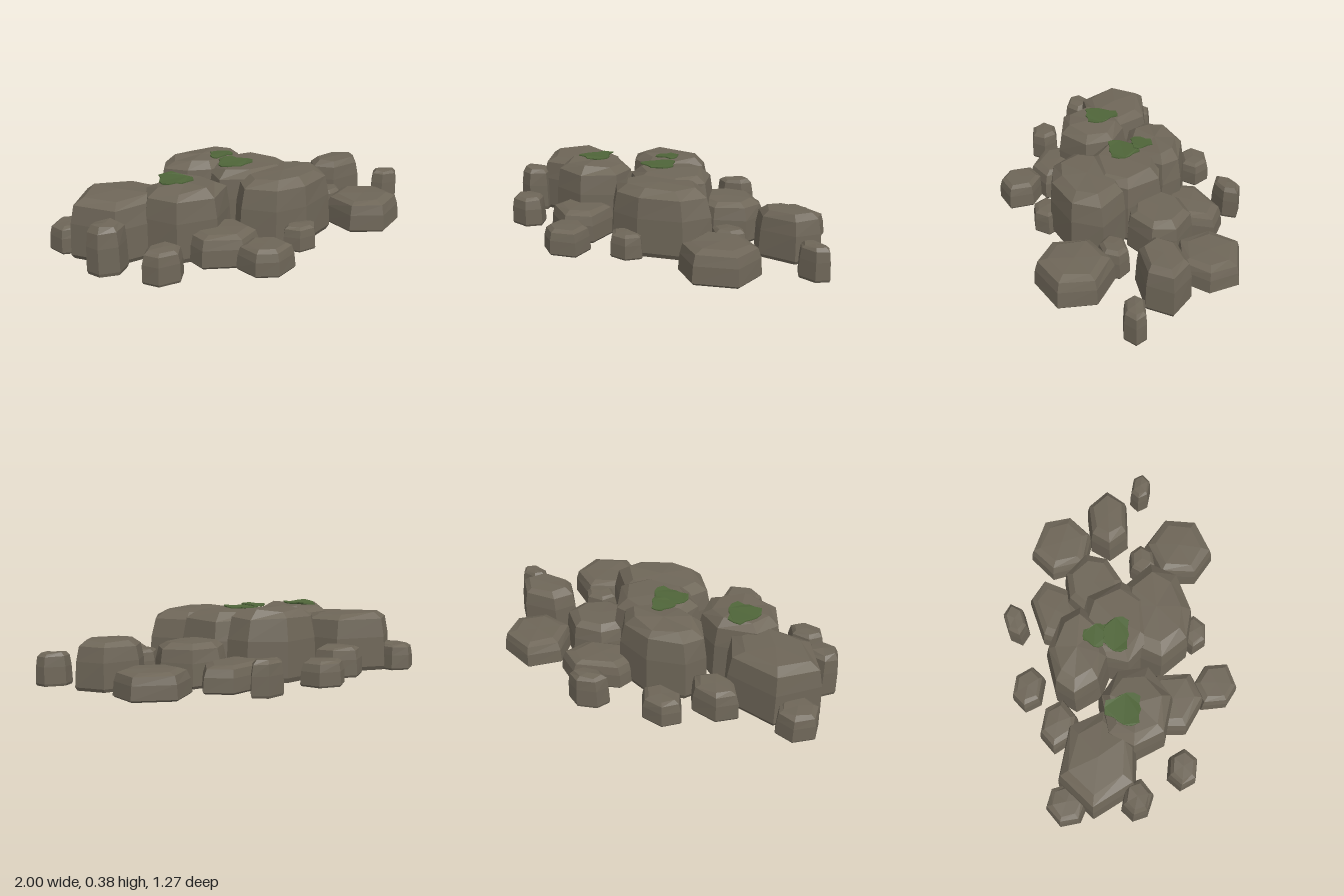
import * as THREE from 'three';

// Boulders: name, x, z, half length, half width, turn, height, sides
const BOULDERS = [
  ['frontBoulder', 0.1, 0.18, 0.295, 0.2, -0.15, 0.335, 8],
  ['middleBoulder', 0.01, -0.03, 0.26, 0.22, 0.1, 0.345, 7],
  ['backBoulder', -0.15, -0.21, 0.255, 0.17, 0, 0.365, 8],
  ['leftBoulder', -0.42, 0.1, 0.235, 0.2, 3.14, 0.345, 7],
  ['farLeftBoulder', -0.69, -0.07, 0.265, 0.22, 0.05, 0.31, 6],
  ['rightBoulder', 0.27, -0.16, 0.2, 0.17, -0.3, 0.215, 7],
  ['backSlab', 0.13, -0.36, 0.21, 0.14, -0.4, 0.135, 6],
  ['frontSlab', -0.34, 0.29, 0.19, 0.165, 0.52, 0.16, 6],
];

// Six-sided stones: name, x, z, half length, half width, turn, height
const STONES = [
  ['outerLeftStone', -0.89, -0.22, 0.115, 0.11, 0.25, 0.14],
  ['tallLeftStone', -0.857, 0.13, 0.1, 0.085, 0.15, 0.24],
  ['frontLeftStone', -0.685, 0.355, 0.105, 0.085, 0.05, 0.16],
  ['frontStone', -0.23, 0.515, 0.14, 0.115, 0.5, 0.13],
  ['smallFrontStone', 0.055, 0.39, 0.1, 0.08, 0, 0.125],
  ['frontRightStone', 0.545, 0.295, 0.2, 0.195, 0.52, 0.16],
  ['innerRightStone', 0.455, 0.095, 0.1, 0.08, -0.15, 0.15],
  ['outerRightStone', 0.67, -0.105, 0.18, 0.13, -0.1, 0.24],
  ['farRightStone', 0.91, 0.065, 0.09, 0.062, 0.1, 0.165],
  ['backRightStone', 0.54, -0.36, 0.185, 0.18, 0.21, 0.13],
  ['backPebble', 0.055, -0.57, 0.105, 0.065, -0.35, 0.175],
  ['backLeftStone', -0.3, -0.47, 0.12, 0.09, 0.1, 0.13],
  ['innerBackStone', -0.495, -0.295, 0.14, 0.1, 0.1, 0.16],
];

// Moss patches: name, x, z, half length, half width, height
const MOSS = [
  ['leftMoss', -0.455, 0.045, 0.08, 0.09, 0.355],
  ['backMoss', -0.09, -0.125, 0.06, 0.055, 0.375],
  ['middleMoss', -0.07, -0.025, 0.09, 0.08, 0.355],
];

// Rock rings from the ground up: height share, size, irregularity
const LEVELS = [[0, 0.94, 0], [0.07, 1, 0], [0.58, 0.96, 0.03], [0.88, 0.88, 0.04], [0.985, 0.66, 0.07]];

let seed = 7;
const random = () => (seed = (seed * 16807) % 2147483647) / 2147483647;
const jitter = (amount) => (random() - 0.5) * amount;

// Faceted rock made of rings that share one uneven oval outline
function rockGeometry(x, z, length, width, turn, height, sides) {
  const outline = [];
  for (let i = 0; i < sides; i++) {
    const uneven = i === 0 || i * 2 === sides ? 0 : jitter(0.3);
    const angle = -(i / sides) * Math.PI * 2 + uneven;
    const corner = new THREE.Vector2(length * Math.cos(angle), width * Math.sin(angle));
    outline.push(corner.rotateAround(new THREE.Vector2(), turn));
  }
  const verts = [];
  for (const [share, size, wobble] of LEVELS) {
    for (const p of outline) {
      const s = size + jitter(wobble);
      const y = Math.min(share * height * (1 + jitter(wobble)), height);
      verts.push(x + p.x * s, y, z + p.y * s);
    }
  }
  const last = (LEVELS.length - 1) * sides;
  const bottom = last + sides;
  verts.push(x, 0, z, x, height, z);
  const index = [];
  for (let i = 0; i < sides; i++) {
    const j = (i + 1) % sides;
    for (let k = 0; k < last; k += sides) {
      index.push(k + i, k + j, k + sides + j, k + i, k + sides + j, k + sides + i);
    }
    index.push(j, i, bottom, last + i, last + j, bottom + 1);
  }
  const geometry = new THREE.BufferGeometry();
  geometry.setAttribute('position', new THREE.Float32BufferAttribute(verts, 3));
  geometry.setIndex(index);
  const faceted = geometry.toNonIndexed();
  faceted.computeVertexNormals();
  return faceted;
}

// Thin ragged, gently wavy sheet lying on a rock
function mossGeometry(x, z, length, width, height) {
  const points = [];
  for (let i = 0; i < 16; i++) {
    const a = (i / 16) * Math.PI * 2;
    const r = 1 - 0.18 * Math.sin(3 * a) + 0.08 * Math.sin(7 * a);
    points.push(new THREE.Vector2(x + length * r * Math.cos(a), -z + width * r * Math.sin(a)));
  }
  const geometry = new THREE.ExtrudeGeometry(new THREE.Shape(points), { depth: 0.006, bevelEnabled: false });
  geometry.rotateX(-Math.PI / 2);
  const pos = geometry.attributes.position;
  for (let i = 0; i < pos.count; i++) {
    const wave = 0.004 * Math.sin(40 * pos.getX(i) + 25 * pos.getZ(i));
    pos.setY(i, pos.getY(i) + height - 0.005 + wave);
  }
  geometry.computeVertexNormals();
  return geometry;
}

export function createModel() {
  const model = new THREE.Group();
  model.name = 'rockPile';
  const stone = new THREE.MeshStandardMaterial({ color: 0x6e6658 });
  stone.name = 'stone';
  const moss = new THREE.MeshStandardMaterial({ color: 0x4f6539 });
  moss.name = 'moss';

  const add = (name, geometry, material) => {
    const mesh = new THREE.Mesh(geometry, material);
    mesh.name = name;
    model.add(mesh);
  };
  for (const [name, ...size] of BOULDERS) add(name, rockGeometry(...size), stone);
  for (const [name, ...size] of STONES) add(name, rockGeometry(...size, 6), stone);
  for (const [name, ...size] of MOSS) add(name, mossGeometry(...size), moss);
  return model;
}
